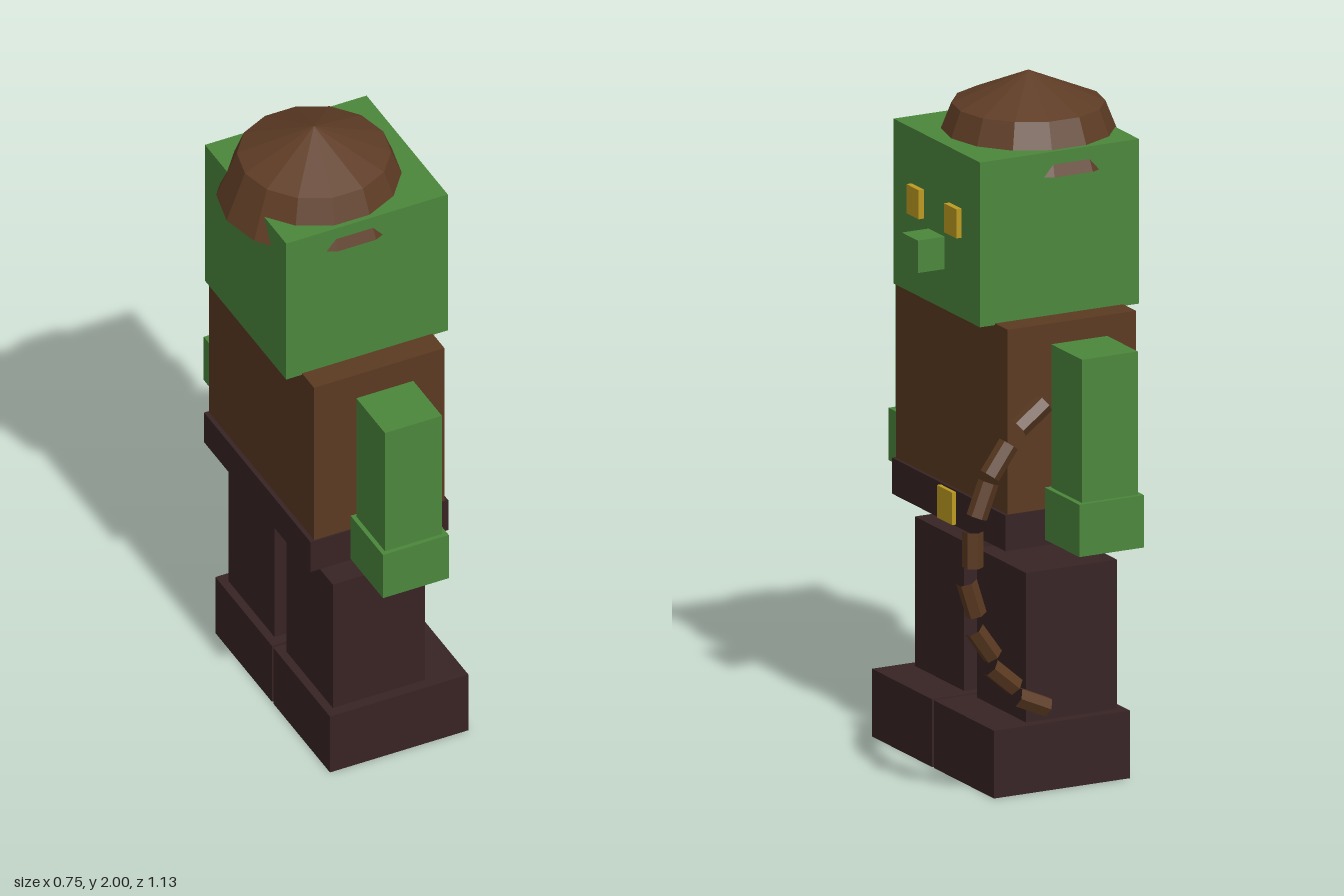
import * as THREE from 'three';

const mat = (name, color) => {
  const m = new THREE.MeshStandardMaterial({ color, flatShading: true });
  m.name = name;
  return m;
};

export function createModel() {
  const green = mat('greenSkin', 0x4b873c);
  const brown = mat('brownLeather', 0x5b3a21);
  const dark = mat('darkCloth', 0x382324);
  const gold = mat('gold', 0xbd9a22);
  const hairMat = mat('hairBrown', 0x5e3c25);
  hairMat.side = THREE.DoubleSide;
  const model = new THREE.Group();
  model.name = 'figure';

  // Box given by its lower and upper corners
  const box = (name, m, [x0, y0, z0], [x1, y1, z1]) => {
    const mesh = new THREE.Mesh(new THREE.BoxGeometry(x1 - x0, y1 - y0, z1 - z0), m);
    mesh.position.set((x0 + x1) / 2, (y0 + y1) / 2, (z0 + z1) / 2);
    mesh.name = name;
    model.add(mesh);
  };
  // The same box on both sides of z = 0
  const pair = (name, m, [x0, y0, z0], [x1, y1, z1]) => {
    box(name + 'A', m, [x0, y0, z0], [x1, y1, z1]);
    box(name + 'B', m, [x0, y0, -z1], [x1, y1, -z0]);
  };

  // Trunk
  box('torso', brown, [-0.265, 0.815, -0.33], [0.145, 1.355, 0.33]);
  box('belt', dark, [-0.278, 0.71, -0.335], [0.155, 0.815, 0.335]);
  box('buckle', gold, [0.155, 0.715, -0.045], [0.168, 0.81, 0.045]);

  // Limbs
  pair('leg', dark, [-0.205, 0.195, 0.038], [0.085, 0.635, 0.328]);
  pair('boot', dark, [-0.23, 0, 0.005], [0.205, 0.198, 0.36]);
  pair('arm', green, [-0.152, 0.88, 0.37], [0.027, 1.307, 0.55]);
  pair('hand', green, [-0.165, 0.735, 0.36], [0.042, 0.888, 0.563]);

  // Head and face
  box('head', green, [-0.315, 1.35, -0.255], [0.193, 1.832, 0.255]);
  box('nose', green, [0.193, 1.468, -0.047], [0.279, 1.563, 0.047]);
  pair('eye', gold, [0.193, 1.585, 0.075], [0.21, 1.67, 0.147]);

  // Faceted cap of hair
  const profile = [[0.275, 1.76], [0.217, 1.907], [0, 2]].map(([r, y]) => new THREE.Vector2(r, y));
  const hair = new THREE.Mesh(new THREE.LatheGeometry(profile, 14, Math.PI / 2), hairMat);
  hair.position.x = -0.1;
  hair.name = 'hair';
  model.add(hair);

  // Curved chain of open hexagonal tubes: centre x, centre y, direction x, direction y
  const links = [
    [0.14, 1.137, 8, -6], [0.243, 1.021, 10, -14], [0.296, 0.912, 7, -18], [0.327, 0.772, 0, -1],
    [0.332, 0.63, -6, -19], [0.294, 0.495, -12, -17], [0.233, 0.387, -15, -13], [0.14, 0.3, -20, -9],
  ];
  const chain = new THREE.Group();
  chain.name = 'chain';
  const linkGeo = new THREE.CylinderGeometry(0.03, 0.03, 0.105, 6, 1, true);
  links.forEach(([x, y, dx, dy], i) => {
    const link = new THREE.Mesh(linkGeo, hairMat === null ? hairMat : brown);
    link.position.set(x, y, -0.461);
    link.rotation.z = Math.atan2(dy, dx) - Math.PI / 2;
    link.name = 'chainLink' + (i + 1);
    chain.add(link);
  });
  model.add(chain);
  return model;
}
